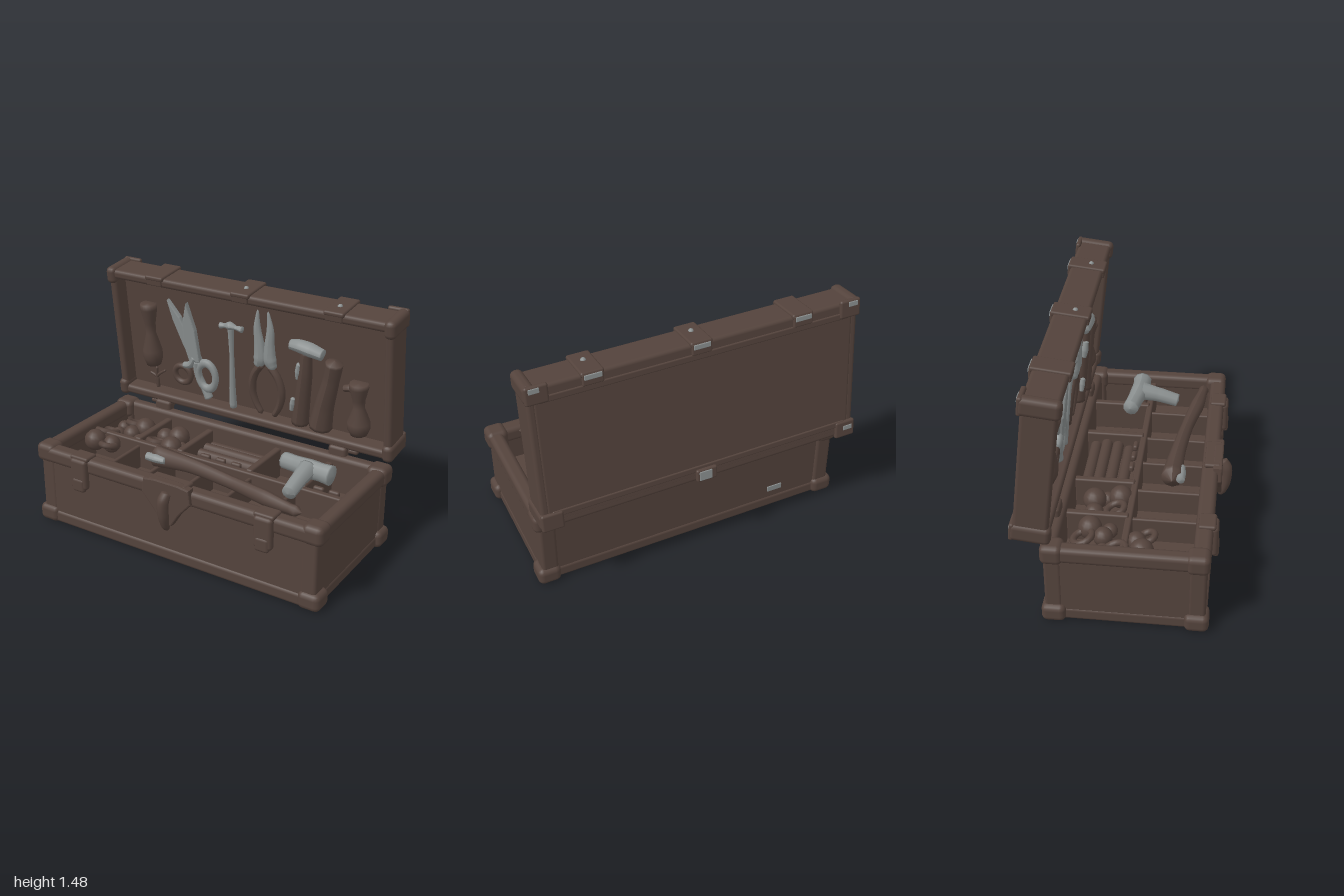
import * as THREE from 'three';
import { RoundedBoxGeometry } from 'three/addons/geometries/RoundedBoxGeometry.js';

const wood = new THREE.MeshStandardMaterial({ color: 0x54433c });
wood.name = 'dark brown';
const steel = new THREE.MeshStandardMaterial({ color: 0x8a8f8f });
steel.name = 'worn steel';

function add(parent, name, geometry, material, x = 0, y = 0, z = 0) {
  const mesh = new THREE.Mesh(geometry, material);
  mesh.name = name;
  mesh.position.set(x, y, z);
  parent.add(mesh);
  return mesh;
}

// Soft-edged block given by its size and centre
function block(parent, name, w, h, d, x, y, z, material = wood, r = 0.02) {
  const radius = Math.min(r, w * 0.45, h * 0.45, d * 0.45);
  return add(parent, name, new RoundedBoxGeometry(w, h, d, 2, radius), material, x, y, z);
}

// Closed tube through points [x, y, z, radius], with a varying radius
function limb(parent, name, pts, material = wood, flat = 1) {
  const N = 28, R = 10;
  const curve = new THREE.CatmullRomCurve3(pts.map(p => new THREE.Vector3(p[0], p[1], p[2])));
  const g = new THREE.TubeGeometry(curve, N, 1, R, false);
  const pos = g.attributes.position, v = new THREE.Vector3();
  for (let i = 0; i <= N; i++) {
    const c = curve.getPointAt(i / N);
    const t = curve.getUtoTmapping(i / N) * (pts.length - 1);
    const k = Math.min(Math.floor(t), pts.length - 2);
    const r = i === 0 || i === N ? 0.0005 : THREE.MathUtils.lerp(pts[k][3], pts[k + 1][3], t - k);
    for (let j = 0; j <= R; j++) {
      const n = i * (R + 1) + j;
      v.fromBufferAttribute(pos, n).sub(c).multiplyScalar(r);
      pos.setXYZ(n, c.x + v.x, c.y + v.y, c.z + v.z * flat);
    }
  }
  g.computeVertexNormals();
  return add(parent, name, g, material);
}

// Flat outline with a small bevel
function plate(parent, name, pts, depth, material, z = 0) {
  const shape = new THREE.Shape(pts.map(p => new THREE.Vector2(p[0], p[1])));
  const g = new THREE.ExtrudeGeometry(shape, {
    depth, bevelEnabled: true, bevelSize: 0.008, bevelThickness: 0.008, bevelSegments: 2,
  });
  return add(parent, name, g, material, 0, 0, z);
}

// Turned wooden handle
function turned(parent, name, x, y, h, r) {
  const prof = [[0, 0], [0.75, 0], [1, 0.12], [1, 0.24], [0.5, 0.52], [0.55, 0.68], [0.85, 0.92], [0.8, 1], [0, 1]];
  const g = new THREE.LatheGeometry(prof.map(p => new THREE.Vector2(p[0] * r, p[1] * h)), 20);
  return add(parent, name, g, wood, x, y, 0.02);
}

function buildBase() {
  const base = new THREE.Group();
  base.name = 'base';
  // Walls, floor and the recessed underside
  block(base, 'frontWall', 1.9, 0.48, 0.07, 0, 0.26, 0.46);
  block(base, 'backWall', 1.9, 0.48, 0.06, 0, 0.26, -0.355);
  block(base, 'trayFloor', 1.86, 0.26, 0.84, 0, 0.16, 0.055);
  for (const s of [-1, 1]) {
    block(base, 'sideWall', 0.06, 0.48, 0.87, s * 0.925, 0.26, 0.055);
    block(base, 'sideRim', 0.09, 0.1, 0.9, s * 0.935, 0.475, 0.055, wood, 0.03);
    block(base, 'sideFoot', 0.06, 0.08, 0.88, s * 0.93, 0.05, 0.055);
  }
  block(base, 'frontRim', 1.93, 0.1, 0.1, 0, 0.47, 0.465, wood, 0.03);
  block(base, 'backRim', 1.93, 0.1, 0.08, 0, 0.475, -0.365, wood, 0.03);
  block(base, 'frontFoot', 1.9, 0.08, 0.06, 0, 0.05, 0.475);
  block(base, 'backFoot', 1.9, 0.08, 0.06, 0, 0.05, -0.362);

  // Corner posts and caps
  for (const sx of [-1, 1]) for (const z of [0.45, -0.35]) {
    block(base, 'cornerPost', 0.1, 0.44, 0.1, sx * 0.91, 0.26, z);
    block(base, 'footCap', 0.14, 0.11, 0.14, sx * 0.92, 0.06, z, wood, 0.035);
    block(base, 'rimCap', 0.13, 0.12, 0.13, sx * 0.925, 0.475, z, wood, 0.035);
  }

  // Compartment dividers
  block(base, 'longDivider', 1.82, 0.2, 0.04, 0, 0.37, 0.03, wood, 0.012);
  for (const x of [-0.57, -0.25, 0.25, 0.61]) block(base, 'rearDivider', 0.045, 0.2, 0.36, x, 0.38, -0.15, wood, 0.012);
  for (const x of [-0.55, -0.28, 0, 0.27, 0.57]) block(base, 'frontDivider', 0.025, 0.16, 0.4, x, 0.36, 0.22, wood, 0.01);

  // Side latches
  for (const s of [-1, 1]) {
    block(base, 'latch', 0.12, 0.2, 0.05, s * 0.64, 0.42, 0.52, wood, 0.025);
    block(base, 'latchTongue', 0.09, 0.09, 0.04, s * 0.64, 0.35, 0.53, wood, 0.02);
    block(base, 'latchTop', 0.13, 0.03, 0.1, s * 0.64, 0.52, 0.48);
    block(base, 'hinge', 0.12, 0.1, 0.06, s * 0.64, 0.53, -0.375);
    block(base, 'hingePin', 0.18, 0.035, 0.035, s * 0.67, 0.55, -0.4);
  }
  // Central hasp with hook
  plate(base, 'haspPlate', [[-0.15, 0.53], [-0.16, 0.45], [-0.08, 0.36], [-0.03, 0.28], [0.03, 0.28],
    [0.08, 0.36], [0.16, 0.45], [0.15, 0.53], [0.08, 0.54], [-0.08, 0.54]], 0.04, wood, 0.49);
  block(base, 'haspTop', 0.26, 0.03, 0.1, 0, 0.53, 0.48);
  limb(base, 'haspHook', [[0.01, 0.49, 0.53, 0.03], [0, 0.44, 0.56, 0.035], [0, 0.34, 0.56, 0.032],
    [0, 0.27, 0.54, 0.025], [0, 0.24, 0.52, 0.015]]);
  block(base, 'wornBackPatch', 0.1, 0.04, 0.008, -0.58, 0.15, -0.386, steel);
  return base;
}

function buildTrayContents() {
  const tray = new THREE.Group();
  tray.name = 'trayContents';
  // Knobs and rings heaped in the left compartments
  const knobs = [[-0.84, -0.19], [-0.75, -0.21], [-0.66, -0.18], [-0.81, -0.09], [-0.71, -0.1], [-0.85, -0.02],
    [-0.63, -0.07], [-0.73, 0.09], [-0.83, 0.13], [-0.71, 0.15], [-0.5, -0.18], [-0.4, -0.19], [-0.34, -0.12],
    [-0.48, -0.06], [-0.36, -0.04]];
  knobs.forEach(([x, z], i) => {
    const r = 0.045 + 0.012 * (i % 3);
    if (i % 4 === 1) {
      const ring = add(tray, 'looseRing', new THREE.TorusGeometry(r, 0.02, 8, 18), wood, x, 0.44, z);
      ring.rotation.x = 1.2;
    } else {
      add(tray, 'looseKnob', new THREE.SphereGeometry(r, 14, 10), wood, x, 0.4 + 0.02 * (i % 3), z);
    }
  });
  // Rods in the middle compartment
  for (const [z, y] of [[-0.27, 0.39], [-0.2, 0.41], [-0.13, 0.4], [-0.06, 0.37]]) {
    const rod = add(tray, 'rod', new THREE.CylinderGeometry(0.035, 0.035, 0.42, 14), wood, 0.01, y, z);
    rod.rotation.z = Math.PI / 2;
  }
  for (const x of [-0.08, 0.03, 0.14, 0.7, 0.8]) block(tray, 'smallBit', 0.07, 0.04, 0.03, x, 0.46, -0.01);

  // Steel hammer propped on the dividers
  limb(tray, 'trayHammerHead', [[0.42, 0.55, -0.08, 0.05], [0.52, 0.555, -0.06, 0.05], [0.62, 0.56, -0.04, 0.058],
    [0.7, 0.56, -0.035, 0.055], [0.78, 0.555, -0.035, 0.062]], steel);
  limb(tray, 'trayHammerShank', [[0.62, 0.57, -0.03, 0.06], [0.62, 0.55, 0.08, 0.048], [0.62, 0.51, 0.22, 0.042]], steel);
  // Long handle lying across the front
  limb(tray, 'longHandle', [[-0.3, 0.53, 0.25, 0.07], [-0.2, 0.53, 0.25, 0.06], [0, 0.54, 0.265, 0.045], [0.3, 0.53, 0.3, 0.038],
    [0.55, 0.525, 0.345, 0.045], [0.72, 0.52, 0.37, 0.03], [0.8, 0.52, 0.38, 0.035]]);
  limb(tray, 'longHandleTip', [[-0.3, 0.54, 0.3, 0.025], [-0.23, 0.54, 0.3, 0.028], [-0.16, 0.54, 0.3, 0.02]], steel);
  return tray;
}

function buildLidTools() {
  const tools = new THREE.Group();
  tools.name = 'lidTools';
  turned(tools, 'turnedHandle', -0.74, 0.81, 0.43, 0.065);
  turned(tools, 'shortTurnedHandle', 0.745, 0.67, 0.34, 0.07);
  limb(tools, 'handleSpur', [[0.65, 0.96, 0.03, 0.02], [0.7, 0.97, 0.03, 0.025], [0.74, 0.95, 0.03, 0.03]]);
  for (const [x, y] of [[-0.78, 0.74], [-0.65, 0.78], [-0.72, 0.79]])
    limb(tools, 'awlTwig', [[-0.73, 0.63, 0.01, 0.012], [-0.73, 0.71, 0.015, 0.01], [x, y, 0.02, 0.008]]);

  // Shears
  plate(tools, 'shearBladeLeft', [[-0.575, 1.29], [-0.5, 1.19], [-0.38, 0.95], [-0.36, 0.9], [-0.42, 0.89], [-0.48, 1.02], [-0.54, 1.17]], 0.02, steel, 0.01);
  plate(tools, 'shearBladeRight', [[-0.425, 1.3], [-0.38, 1.13], [-0.36, 0.92], [-0.42, 0.9], [-0.46, 1.04], [-0.45, 1.18]], 0.02, steel, 0.03);
  limb(tools, 'shearArmLeft', [[-0.39, 0.94, 0.035, 0.03], [-0.43, 0.88, 0.035, 0.025], [-0.49, 0.86, 0.035, 0.02]], steel);
  add(tools, 'shearRingLeft', new THREE.TorusGeometry(0.06, 0.02, 8, 24), wood, -0.505, 0.79, 0.03);
  const ring = add(tools, 'shearRingRight', new THREE.TorusGeometry(0.065, 0.022, 8, 24), steel, -0.315, 0.82, 0.035);
  ring.scale.y = 1.4;
  limb(tools, 'shearTail', [[-0.39, 0.92, 0.03, 0.03], [-0.38, 0.8, 0.03, 0.025], [-0.34, 0.72, 0.03, 0.025], [-0.31, 0.65, 0.03, 0.03]], steel);

  // Small hammer
  limb(tools, 'smallHammerShaft', [[-0.115, 1.23, 0.03, 0.022], [-0.12, 1.0, 0.03, 0.015], [-0.13, 0.75, 0.03, 0.022], [-0.13, 0.62, 0.03, 0.025]], steel);
  limb(tools, 'smallHammerHead', [[-0.19, 1.205, 0.04, 0.022], [-0.15, 1.21, 0.04, 0.014], [-0.115, 1.215, 0.04, 0.028],
    [-0.07, 1.21, 0.04, 0.014], [-0.02, 1.205, 0.04, 0.022]], steel);

  // Pliers: two jaws and two bowed grips
  for (const s of [-1, 1]) {
    const px = x => 0.12 + s * x;
    limb(tools, 'plierJaw', [[px(0.035), 1.36, 0.03, 0.006], [px(0.045), 1.24, 0.03, 0.024], [px(0.035), 1.12, 0.03, 0.035],
      [px(0.035), 1.03, 0.03, 0.045], [px(0.06), 0.97, 0.03, 0.025]], steel, 0.7);
    limb(tools, 'plierGrip', [[px(0.02), 1.0, 0.025, 0.025], [px(0.08), 0.92, 0.025, 0.025], [px(0.105), 0.82, 0.025, 0.026],
      [px(0.085), 0.72, 0.025, 0.022], [px(0.04), 0.64, 0.025, 0.018]]);
  }

  // Claw hammer
  limb(tools, 'hammerHead', [[0.3, 1.18, 0.04, 0.03], [0.37, 1.18, 0.04, 0.042], [0.44, 1.17, 0.04, 0.045], [0.53, 1.15, 0.04, 0.035]], steel);
  limb(tools, 'hammerHandle', [[0.41, 1.17, 0.03, 0.035], [0.395, 1.0, 0.03, 0.045], [0.37, 0.8, 0.03, 0.05], [0.35, 0.63, 0.03, 0.055]]);
  limb(tools, 'hammerWearUpper', [[0.37, 1.07, 0.05, 0.018], [0.36, 1.01, 0.05, 0.022], [0.355, 0.96, 0.05, 0.014]], steel);
  limb(tools, 'hammerWearLower', [[0.325, 0.83, 0.06, 0.014], [0.32, 0.79, 0.06, 0.018], [0.31, 0.74, 0.06, 0.012]], steel);
  // Mallet grip
  limb(tools, 'malletGrip', [[0.595, 1.13, 0.03, 0.055], [0.57, 1.0, 0.03, 0.05], [0.52, 0.8, 0.03, 0.06], [0.49, 0.64, 0.03, 0.075]]);
  tools.position.set(0, -0.58, 0.01);
  return tools;
}

function buildLid() {
  const lid = new THREE.Group();
  lid.name = 'lid';
  // Panel and deep surrounding frame
  block(lid, 'lidPanel', 1.9, 0.84, 0.1, 0, 0.44, -0.05);
  for (const y of [0.025, 0.85]) block(lid, 'lidRail', 1.94, 0.06, 0.2, 0, y, 0, wood, 0.022);
  for (const s of [-1, 1]) {
    block(lid, 'lidStile', 0.055, 0.84, 0.195, s * 0.955, 0.44, 0, wood, 0.022);
    for (const y of [0.04, 0.84]) {
      const top = y > 0.5;
      block(lid, 'lidCorner', 0.07, 0.11, 0.23, s * 0.96, y, 0, wood, 0.03);
      block(lid, 'lidBackCorner', 0.13, 0.11, 0.03, s * 0.925, y, -0.1, wood, 0.014);
      if (top || s < 0) block(lid, 'wornCorner', 0.06, 0.03, 0.008, s * 0.94, top ? 0.87 : 0.05, -0.115, steel);
    }
  }
  for (const y of [0.08, 0.8]) block(lid, 'backBand', 1.84, 0.04, 0.02, 0, y, -0.097, wood, 0.008);
  // Straps over the top edge
  for (const x of [-0.62, 0, 0.62]) {
    block(lid, 'topStrap', 0.13, 0.03, 0.225, x, 0.878, 0, wood, 0.012);
    block(lid, 'strapFront', 0.11, 0.06, 0.02, x, 0.86, 0.1, wood, 0.009);
    block(lid, 'strapBack', 0.12, 0.07, 0.02, x, 0.85, -0.105, wood, 0.009);
    block(lid, 'strapWear', 0.1, 0.03, 0.009, x, 0.865, -0.115, steel);
    if (x >= 0) add(lid, 'rivet', new THREE.SphereGeometry(0.016, 12, 8), steel, x, 0.89, 0.02);
  }
  // Rear clasp
  block(lid, 'rearClasp', 0.13, 0.08, 0.03, 0, 0.04, -0.11, wood, 0.012);
  block(lid, 'rearClaspWear', 0.08, 0.06, 0.009, 0.01, 0.04, -0.125, steel);
  lid.add(buildLidTools());
  lid.position.set(0, 0.58, -0.46);
  lid.rotation.x = 0.115;
  return lid;
}

export function createModel() {
  const model = new THREE.Group();
  model.name = 'toolChest';
  model.add(buildBase(), buildTrayContents(), buildLid());
  return model;
}
